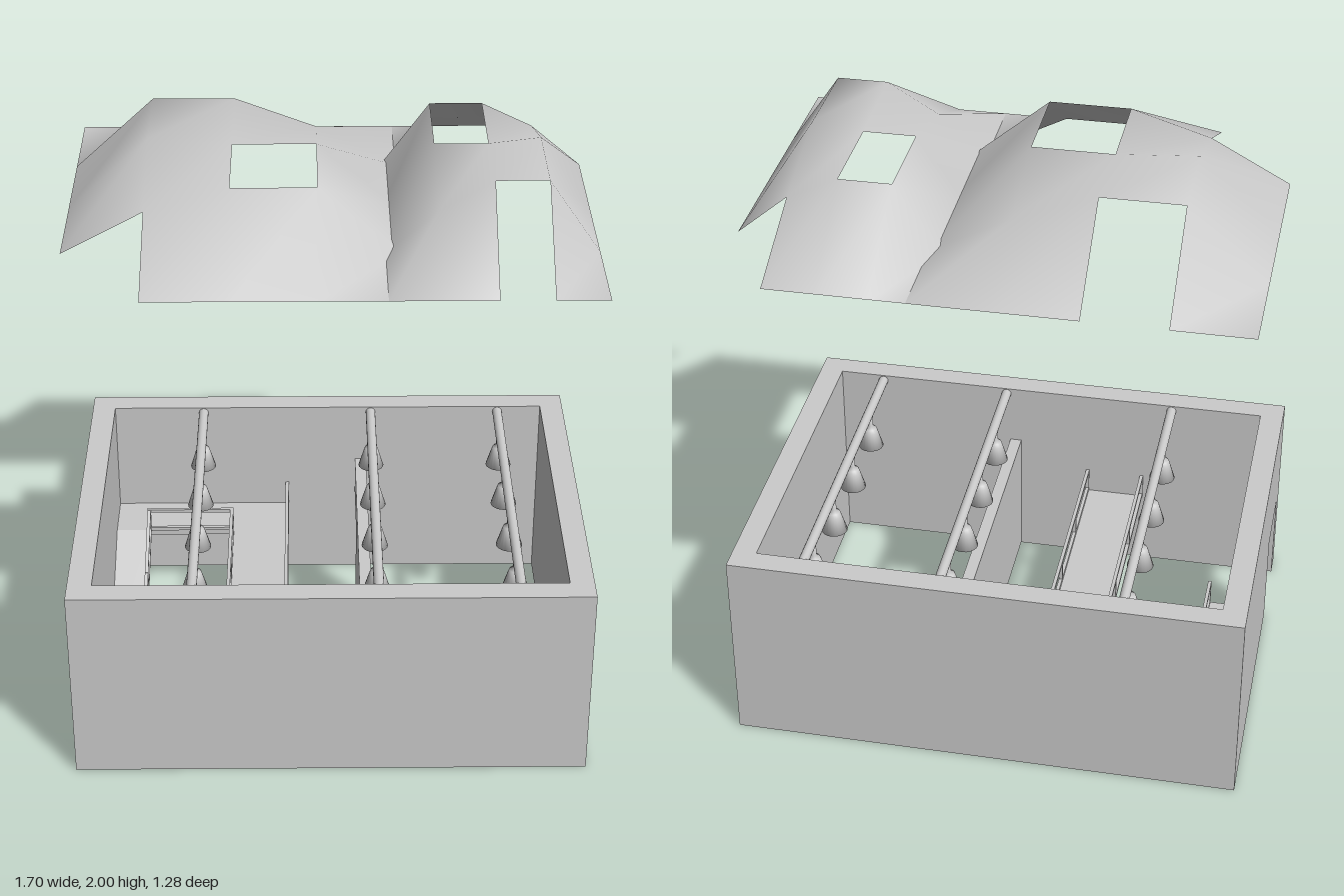
import * as THREE from 'three';

const grey = new THREE.MeshStandardMaterial({ color: 0xcccccc });
const thin = new THREE.MeshStandardMaterial({ color: 0xcccccc, side: THREE.DoubleSide });

// Box given by its minimum and maximum corners
function block(parent, name, [x0, y0, z0], [x1, y1, z1]) {
  const mesh = new THREE.Mesh(new THREE.BoxGeometry(x1 - x0, y1 - y0, z1 - z0), grey);
  mesh.position.set((x0 + x1) / 2, (y0 + y1) / 2, (z0 + z1) / 2);
  mesh.name = name;
  parent.add(mesh);
}

// Square bar between two points
function bar(parent, name, a, b, t = 0.012) {
  const mesh = new THREE.Mesh(new THREE.BoxGeometry(t, t, a.distanceTo(b) + t), grey);
  mesh.position.copy(a).add(b).multiplyScalar(0.5);
  mesh.lookAt(b);
  mesh.name = name;
  parent.add(mesh);
}

// Railing: lower and upper bars with posts between two floor points
function railing(parent, name, from, to, posts) {
  const rail = new THREE.Group();
  rail.name = name;
  const a = new THREE.Vector3(...from), b = new THREE.Vector3(...to);
  const up = (p, h) => p.clone().add(new THREE.Vector3(0, h, 0));
  for (const h of [0.008, 0.085]) bar(rail, 'railBar', up(a, h), up(b, h));
  for (let i = 0; i <= posts; i++) {
    const p = a.clone().lerp(b, i / posts);
    bar(rail, 'railPost', up(p, 0.008), up(p, 0.085));
  }
  parent.add(rail);
}

// Curved roof sheet on a grid, with some cells left open as skylights
function roofSheet(name, xs, zs, heights, open) {
  const pos = [], index = [], n = xs.length;
  zs.forEach((z, j) => xs.forEach((x, i) => pos.push(x, heights[j][i], z)));
  for (let j = 0; j < zs.length - 1; j++) {
    for (let i = 0; i < n - 1; i++) {
      if (open.some(([oi, oj]) => oi === i && oj === j)) continue;
      const a = j * n + i, b = a + 1, c = a + n, d = c + 1;
      index.push(a, c, b, b, c, d);
    }
  }
  const geo = new THREE.BufferGeometry();
  geo.setAttribute('position', new THREE.Float32BufferAttribute(pos, 3));
  geo.setIndex(index);
  geo.computeVertexNormals();
  const mesh = new THREE.Mesh(geo, thin);
  mesh.name = name;
  return mesh;
}

export function createModel() {
  const model = new THREE.Group();
  const X = 0.85, Z = 0.64, H = 0.69, xi = 0.77, zi = 0.56;

  // Outer walls, with a doorway in the -x wall
  const walls = new THREE.Group();
  walls.name = 'walls';
  block(walls, 'frontWall', [-X, 0, zi], [X, H, Z]);
  block(walls, 'backWall', [-X, 0, -Z], [X, H, -zi]);
  block(walls, 'leftWall', [xi, 0, -zi], [X, H, zi]);
  block(walls, 'rightWall', [-X, 0, -zi], [-xi, H, 0.3]);
  block(walls, 'doorLintel', [-X, 0.33, 0.3], [-xi, H, zi]);
  model.add(walls);

  // Inner partition with a passage at the back
  block(model, 'partition', [0.1, 0, -0.33], [0.14, 0.47, zi]);
  block(model, 'partitionLintel', [0.1, 0.33, -zi], [0.14, 0.47, -0.33]);

  // Raised walkway
  const walkway = new THREE.Group();
  walkway.name = 'walkway';
  block(walkway, 'backDeck', [-xi, 0.26, -zi], [-0.35, 0.28, -0.38]);
  block(walkway, 'mainDeck', [-0.35, 0.26, -zi], [-0.15, 0.28, zi]);
  railing(walkway, 'backRailing', [-0.65, 0.28, -0.38], [-0.35, 0.28, -0.38], 1);
  railing(walkway, 'innerRailing', [-0.35, 0.28, -0.38], [-0.35, 0.28, zi], 3);
  railing(walkway, 'outerRailing', [-0.15, 0.28, -zi], [-0.15, 0.28, zi], 4);

  // Ramp down towards the doorway, ending in a short landing
  const slope = [[-0.38, 0.28], [0.1, 0.06], [0.26, 0.06], [0.26, 0.035], [0.09, 0.035], [-0.38, 0.25]];
  const shape = new THREE.Shape(slope.map(([z, y]) => new THREE.Vector2(-z, y)));
  const ramp = new THREE.Mesh(new THREE.ExtrudeGeometry(shape, { depth: 0.12, bevelEnabled: false }), grey);
  ramp.rotation.y = Math.PI / 2;
  ramp.position.x = -xi;
  ramp.name = 'ramp';
  walkway.add(ramp);
  railing(walkway, 'rampRailing', [-0.65, 0.28, -0.38], [-0.65, 0.06, 0.1], 2);
  railing(walkway, 'landingRailing', [-0.65, 0.06, 0.1], [-0.65, 0.06, 0.26], 1);
  model.add(walkway);

  // Beams with four hanging lamps each
  const lampProfile = [[0, 0.66], [0.01, 0.66], [0.01, 0.61], [0.022, 0.6], [0.027, 0.585], [0.045, 0.525], [0, 0.525]]
    .reverse().map(([r, y]) => new THREE.Vector2(r, y));
  const lampGeo = new THREE.LatheGeometry(lampProfile, 20);
  const beamGeo = new THREE.CylinderGeometry(0.017, 0.017, 2 * zi, 16).rotateX(Math.PI / 2);
  for (const x of [-0.45, 0.155, 0.615]) {
    const row = new THREE.Group();
    row.name = 'lampRow';
    const beam = new THREE.Mesh(beamGeo, grey);
    beam.name = 'beam';
    beam.position.set(x, 0.67, 0);
    row.add(beam);
    for (const z of [-0.43, -0.17, 0.09, 0.35]) {
      const lamp = new THREE.Mesh(lampGeo, thin);
      lamp.name = 'lamp';
      lamp.position.set(x, 0, z);
      row.add(lamp);
    }
    model.add(row);
  }

  // Two floating roof humps meeting in a valley
  const e = 1.76, zs = [-Z, -0.32, 0, 0.32, Z], edge = [e, e, e, e, e];
  model.add(roofSheet('wideRoof', [-0.83, -0.57, -0.305, -0.04, 0.22], zs, [
    edge,
    [e, 2, 2, 1.9, e],
    [e, 2, 1.98, 1.98, e],
    [e, 1.9, 1.98, 1.98, e],
    edge,
  ], [[1, 0], [2, 2], [0, 3]]));
  model.add(roofSheet('narrowRoof', [0.17, 0.33, 0.5, 0.665, 0.83], zs, [
    edge,
    [e, 1.98, 1.98, 1.9, e],
    [e, 1.98, 1.98, 2, e],
    [e, 1.9, 2, 2, e],
    edge,
  ], [[3, 0], [1, 1], [2, 3]]));

  return model;
}
